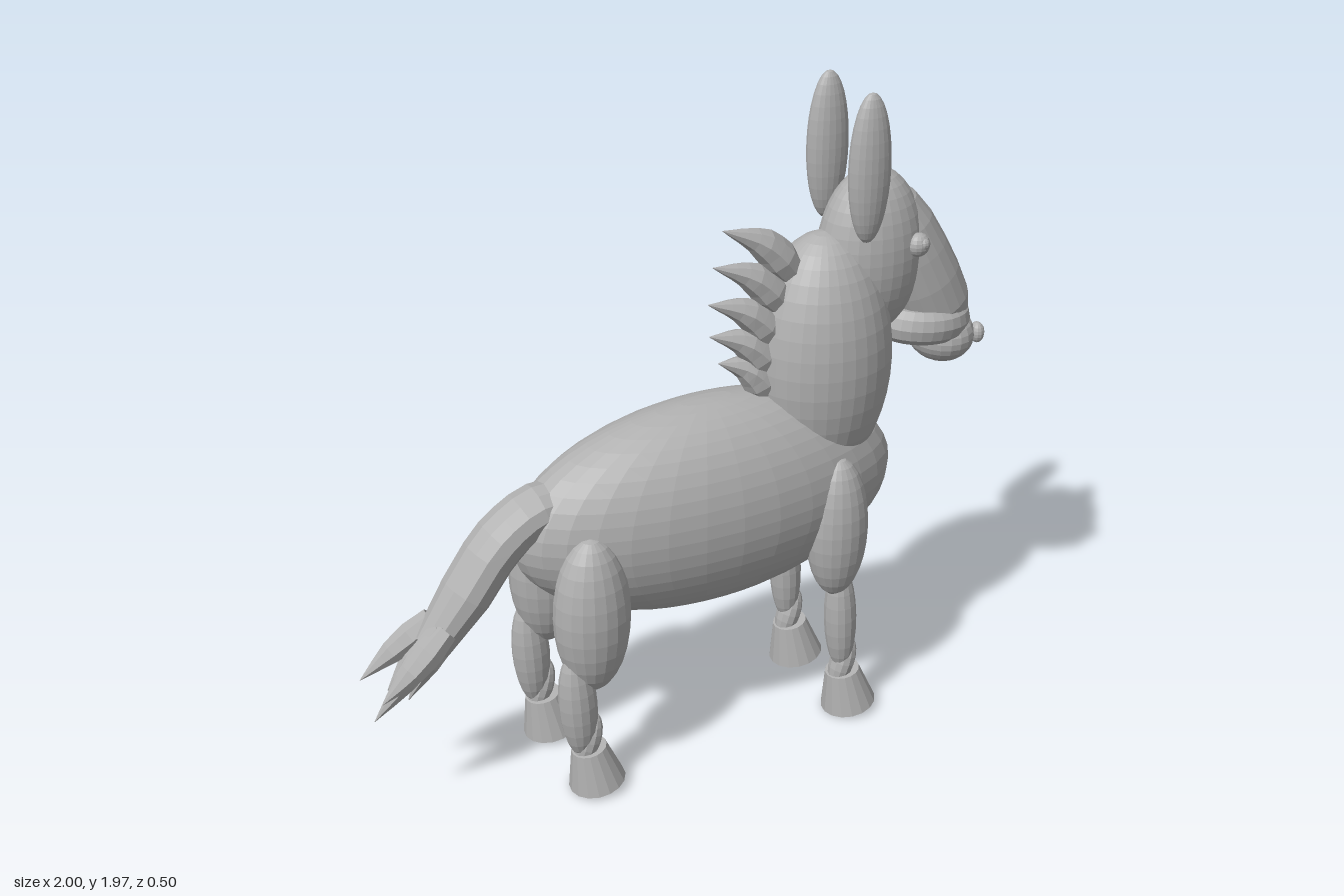
import * as THREE from 'three';

const grey = new THREE.MeshStandardMaterial({ color: 0xb0b0b0, flatShading: true });
grey.name = 'plain grey';

export function createModel() {
  const model = new THREE.Group();
  model.name = 'donkey';

  function add(name, geometry, pos = [0, 0, 0], tilt = 0, scale = [1, 1, 1]) {
    const mesh = new THREE.Mesh(geometry, grey);
    mesh.name = name;
    mesh.position.set(...pos);
    mesh.rotation.z = tilt;
    mesh.scale.set(...scale);
    model.add(mesh);
    return mesh;
  }
  const ball = (name, pos, radii, tilt = 0, w = 20, h = 14) =>
    add(name, new THREE.SphereGeometry(1, w, h), pos, tilt, radii);

  // Tapered sweep in a vertical plane: radii are listed from root to tip
  function sweep(name, points, radii, sides = 10, zScale = 1, steps = 10) {
    const curve = new THREE.CatmullRomCurve3(points.map(p => new THREE.Vector3(...p)));
    const pos = [], index = [];
    const across = new THREE.Vector3(), up = new THREE.Vector3(), side = new THREE.Vector3(0, 0, 1);
    for (let i = 0; i <= steps; i++) {
      const t = i / steps, c = curve.getPoint(t), dir = curve.getTangent(t);
      const k = Math.min(Math.floor(t * (radii.length - 1)), radii.length - 2);
      const r = THREE.MathUtils.lerp(radii[k], radii[k + 1], t * (radii.length - 1) - k);
      up.crossVectors(side, dir).normalize();
      across.crossVectors(dir, up);
      for (let j = 0; j < sides; j++) {
        const a = j / sides * Math.PI * 2;
        const p = c.clone().addScaledVector(up, r * Math.cos(a))
          .addScaledVector(across, -r * zScale * Math.sin(a));
        pos.push(p.x, p.y, p.z);
        if (i < steps) {
          const m = i * sides + j, n = i * sides + (j + 1) % sides;
          index.push(m, m + sides, n, n, m + sides, n + sides);
        }
      }
    }
    // End caps
    for (let j = 1; j < sides - 1; j++) {
      const e = steps * sides;
      index.push(0, j, j + 1, e, e + j + 1, e + j);
    }
    const g = new THREE.BufferGeometry();
    g.setAttribute('position', new THREE.Float32BufferAttribute(pos, 3));
    g.setIndex(index);
    g.computeVertexNormals();
    return add(name, g);
  }

  // Trunk, neck and skull
  ball('body', [0.08, 0.778, 0], [0.62, 0.323, 0.235], 0, 32, 24);
  ball('neck', [0.465, 1.15, 0], [0.215, 0.39, 0.19], 0, 32, 20);
  ball('skull', [0.62, 1.45, 0], [0.165, 0.26, 0.127], 0, 28, 20);

  // Sloping snout
  const snoutProfile = [[0, -0.16], [0.1, -0.16], [0.118, -0.1], [0.119, 0], [0.112, 0.1],
    [0.1, 0.2], [0.078, 0.28], [0.045, 0.33], [0, 0.35]].map(p => new THREE.Vector2(...p));
  add('snout', new THREE.LatheGeometry(snoutProfile, 20), [0.805, 1.33, 0], 0.43, [1, 1, 0.9]);

  // Mouth ring and chin
  const ring = new THREE.TorusGeometry(0.7, 0.3, 10, 28);
  ring.rotateX(Math.PI / 2);
  add('lips', ring, [0.81, 1.2, 0], -0.08, [0.158, 0.18, 0.128]);
  ball('chin', [0.885, 1.135, 0], [0.098, 0.088, 0.113]);

  // Mane: a row of curved locks
  const locks = [
    [0.36, 1.43, 0.13, 1.605], [0.33, 1.34, 0.10, 1.5], [0.31, 1.24, 0.085, 1.39],
    [0.30, 1.15, 0.09, 1.29], [0.29, 1.07, 0.12, 1.2]];
  locks.forEach(([x, y, tx, ty]) => {
    const mx = (x + tx) / 2 + 0.015, my = (y + ty) / 2 + 0.025;
    sweep('maneLock', [[x, y, 0], [mx, my, 0], [tx, ty, 0]],
      [0.045, 0.056, 0.046, 0.024, 0.001], 8, 1.05, 8);
  });

  // Tail with a split tuft
  sweep('tail', [[-0.34, 0.87, 0], [-0.46, 0.88, 0], [-0.58, 0.81, 0], [-0.69, 0.67, 0], [-0.8, 0.53, 0]],
    [0.07, 0.075, 0.077, 0.075, 0.055], 12, 1.1, 12);
  const tips = [[-1, 0.44, -0.058], [-1, 0.36, 0.042], [-0.88, 0.37, 0], [-0.98, 0.42, 0.06], [-0.93, 0.4, -0.03]];
  tips.forEach(([x, y, z]) => {
    const rx = -0.76 + (x + 0.95) * 0.4;
    sweep('tailTip', [[rx, 0.59, z * 0.7], [(rx + x) / 2 - 0.01, (0.59 + y) / 2 - 0.01, z], [x, y, z]],
      [0.035, 0.042, 0.034, 0.018, 0.001], 7, 1, 8);
  });

  // Paired parts
  for (const s of [1, -1]) {
    ball('ear', [0.535, 1.753, s * 0.112], [0.066, 0.222, 0.044], 0, 20, 16);
    ball('eye', [0.715, 1.488, s * 0.108], [0.036, 0.036, 0.03], 0, 14, 10);
    ball('pupil', [0.722, 1.494, s * 0.126], [0.018, 0.018, 0.015], 0, 10, 8);
    ball('nostril', [0.973, 1.138, s * 0.065], [0.022, 0.033, 0.026], 0, 12, 10);

    // Front leg
    ball('frontThigh', [0.435, 0.662, s * 0.165], [0.097, 0.23, 0.082]);
    ball('frontShin', [0.46, 0.34, s * 0.163], [0.05, 0.19, 0.048], 0.05, 14, 12);
    // Hind leg
    ball('hindThigh', [-0.37, 0.587, s * 0.152], [0.115, 0.248, 0.098]);
    ball('hindShin', [-0.425, 0.305, s * 0.16], [0.058, 0.18, 0.05], 0.06, 14, 12);

    // Pasterns and hooves, toes slightly raised
    for (const [name, x] of [['front', 0.49], ['hind', -0.38]]) {
      ball(name + 'Pastern', [x - 0.015, 0.175, s * 0.16], [0.038, 0.085, 0.04], -0.3, 12, 10);
      add(name + 'Hoof', new THREE.CylinderGeometry(0.053, 0.085, 0.128, 16),
        [x, 0.082, s * 0.158], 0.2);
    }
  }
  return model;
}
